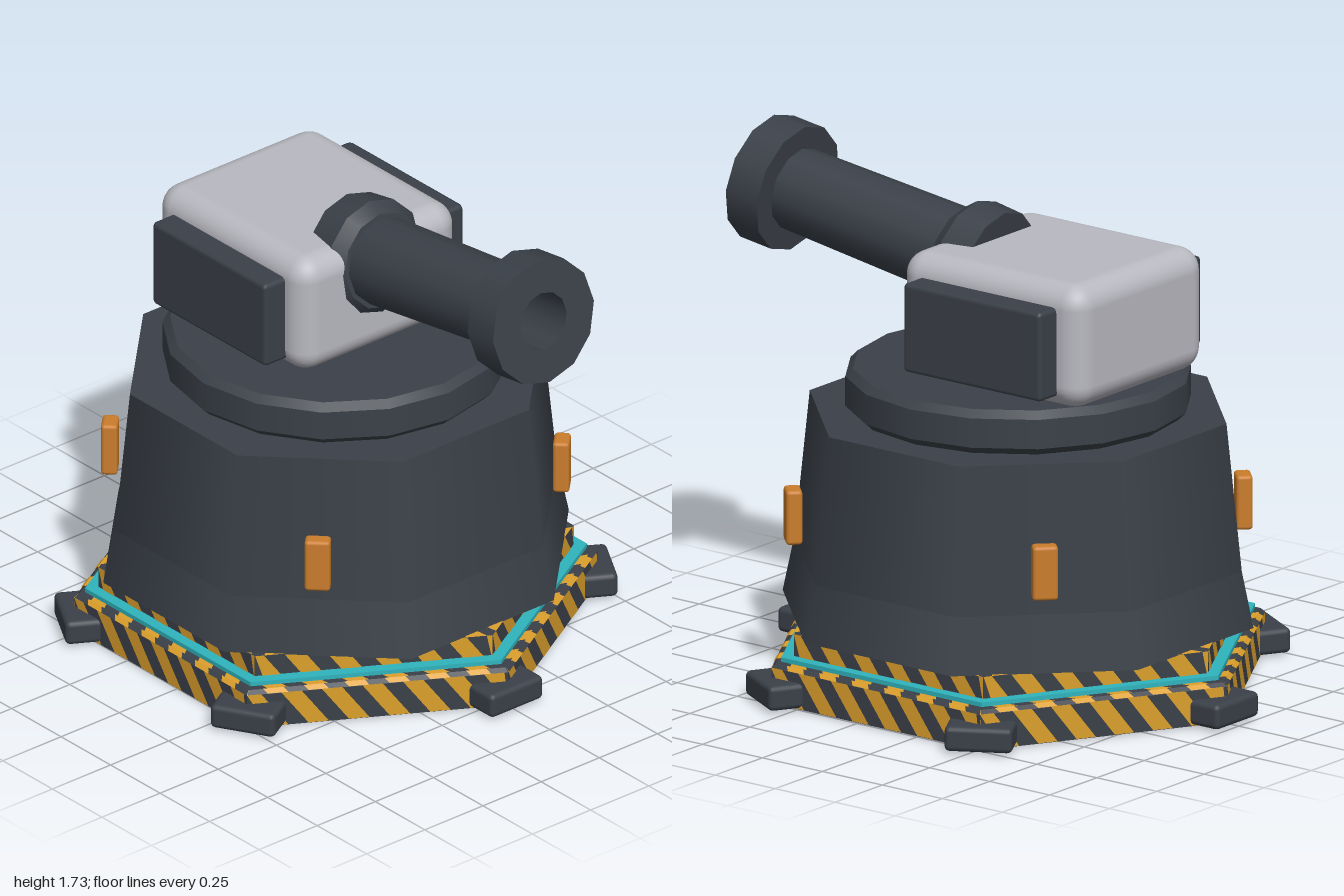
import * as THREE from 'three';
import { mergeGeometries } from 'three/addons/utils/BufferGeometryUtils.js';
import { RoundedBoxGeometry } from 'three/addons/geometries/RoundedBoxGeometry.js';

const mat = (name, color) => {
  const m = new THREE.MeshStandardMaterial({ color });
  m.name = name;
  return m;
};

// Revolved profile: every segment keeps its own normals, so profile corners stay sharp
function turned(profile, sides, phase = 0, flat = false) {
  const parts = [];
  for (let i = 0; i + 1 < profile.length; i++) {
    const pts = [profile[i], profile[i + 1]].map(([r, y]) => new THREE.Vector2(r, y));
    parts.push(new THREE.LatheGeometry(pts, sides, phase));
  }
  const merged = mergeGeometries(parts);
  if (!flat) return merged;
  const g = merged.toNonIndexed();
  g.computeVertexNormals();
  return g;
}

// Diagonal stripes around a hexagonal band from [radius, y] to [radius, y]
function stripeBand([r0, y0], [r1, y1]) {
  const pitch = 0.135, width = 0.068, lift = 0.002;
  const slant = 0.75 * Math.hypot((r1 - r0) * 0.866, y1 - y0);
  const pos = [];
  for (let k = 0; k < 6; k++) {
    const a = Math.PI / 6 + (k * Math.PI) / 3;
    const point = (u, r, y) => {
      const c = THREE.MathUtils.clamp(u, -r / 2, r / 2), d = r * 0.866 + lift;
      return [Math.sin(a) * d + Math.cos(a) * c, y + lift, Math.cos(a) * d - Math.sin(a) * c];
    };
    for (let u = -0.5; u < 0.6; u += pitch) {
      const bl = point(u, r0, y0), br = point(u + width, r0, y0);
      const tl = point(u - slant, r1, y1), tr = point(u + width - slant, r1, y1);
      pos.push(...bl, ...br, ...tr, ...bl, ...tr, ...tl);
    }
  }
  const g = new THREE.BufferGeometry();
  g.setAttribute('position', new THREE.Float32BufferAttribute(pos, 3));
  g.computeVertexNormals();
  return g;
}

export function createModel() {
  const dark = mat('dark steel', 0x3b4149);
  const light = mat('pale grey', 0xb9b9c1);
  const yellow = mat('hazard yellow', 0xdca02c);
  const orange = mat('orange lamp', 0xcb7d2c);
  const teal = mat('teal glow', 0x30b4bd);

  const model = new THREE.Group();
  model.name = 'turret';
  const add = (name, geometry, material, parent = model) => {
    const m = new THREE.Mesh(geometry, material);
    m.name = name;
    parent.add(m);
    return m;
  };

  const base = new THREE.Group();
  base.name = 'base';
  base.position.z = -0.08;
  model.add(base);

  // Stepped hexagonal plinth
  const steps = [[0.87, 0.004], [0.87, 0.125], [0.855, 0.138], [0.79, 0.138], [0.79, 0.23], [0.6, 0.23]];
  add('plinth', turned([[0, 0.004], ...steps, [0, 0.23]], 6, 0, true), dark, base);
  for (let i = 0; i + 1 < steps.length; i++) {
    add('hazardStripes', stripeBand(steps[i], steps[i + 1]), yellow, base);
  }
  const strip = [[0.79, 0.142], [0.835, 0.142], [0.835, 0.157], [0.79, 0.157]];
  add('glowStrip', turned(strip, 6, 0, true), teal, base);

  // Pinwheel mark on the underside
  const blade = new THREE.Shape([[0.035, 0], [0.075, 0.01], [0.12, 0.05], [0.085, 0.05], [0.06, 0.035]]
    .map(([x, y]) => new THREE.Vector2(x, y)));
  const blades = Array.from({ length: 6 }, (_, k) =>
    new THREE.ShapeGeometry(blade).rotateZ((k * Math.PI) / 3).rotateX(Math.PI / 2));
  add('undersideMark', mergeGeometries(blades), yellow, base);

  // Feet on the plinth corners
  for (let k = 0; k < 6; k++) {
    const a = (k * Math.PI) / 3;
    const foot = add('foot', new RoundedBoxGeometry(0.225, 0.085, 0.24, 2, 0.018), dark, base);
    foot.position.set(Math.sin(a) * 0.8, 0.051, Math.cos(a) * 0.8);
    foot.rotation.y = a;
  }

  // Octagonal tower, radii given to the flats
  const oct = 1 / Math.cos(Math.PI / 8);
  const tower = [[0, 0.23], [0.74, 0.23], [0.703, 0.42], [0.655, 0.92], [0, 0.92]]
    .map(([r, y]) => [r * oct, y]);
  add('tower', turned(tower, 8, Math.PI / 8), dark, base);

  // Lamps on the diagonal faces
  for (let k = 0; k < 4; k++) {
    const a = Math.PI / 4 + (k * Math.PI) / 2;
    const lamp = add('lamp', new RoundedBoxGeometry(0.085, 0.185, 0.055, 2, 0.012), orange, base);
    lamp.position.set(Math.sin(a) * 0.742, 0.577, Math.cos(a) * 0.742);
    lamp.rotation.y = a;
  }

  // Turntable
  add('turntable', turned([[0, 0.92], [0.545, 0.92], [0.57, 0.945], [0.57, 1.045], [0.545, 1.07], [0, 1.07]], 16),
    dark, base);

  // Head with side plates
  add('head', new RoundedBoxGeometry(0.685, 0.42, 0.76, 4, 0.08), light).position.set(0, 1.28, -0.225);
  for (const s of [1, -1]) {
    const plate = add('sidePlate', new RoundedBoxGeometry(0.11, 0.305, 0.575, 1, 0.016), dark);
    plate.position.set(s * 0.373, 1.265, -0.222);
  }

  // Barrel, open along its axis and tilted up; origin at the muzzle mouth
  const gun = new THREE.Group();
  gun.name = 'gun';
  gun.position.set(0, 1.515, 0.968);
  gun.rotation.x = THREE.MathUtils.degToRad(82);
  model.add(gun);
  add('muzzle', turned([[0.1, -0.13], [0.217, -0.13], [0.217, 0], [0.1, 0], [0.1, -0.13]], 12), dark, gun);
  add('barrel', turned([[0.15, -0.84], [0.14, -0.13], [0.1, -0.13], [0.1, -0.84]], 12), dark, gun);
  add('collar', turned([[0.1, -0.975], [0.195, -0.975], [0.2, -0.86], [0.165, -0.815], [0.1, -0.815], [0.1, -0.975]], 12),
    dark, gun);

  return model;
}
